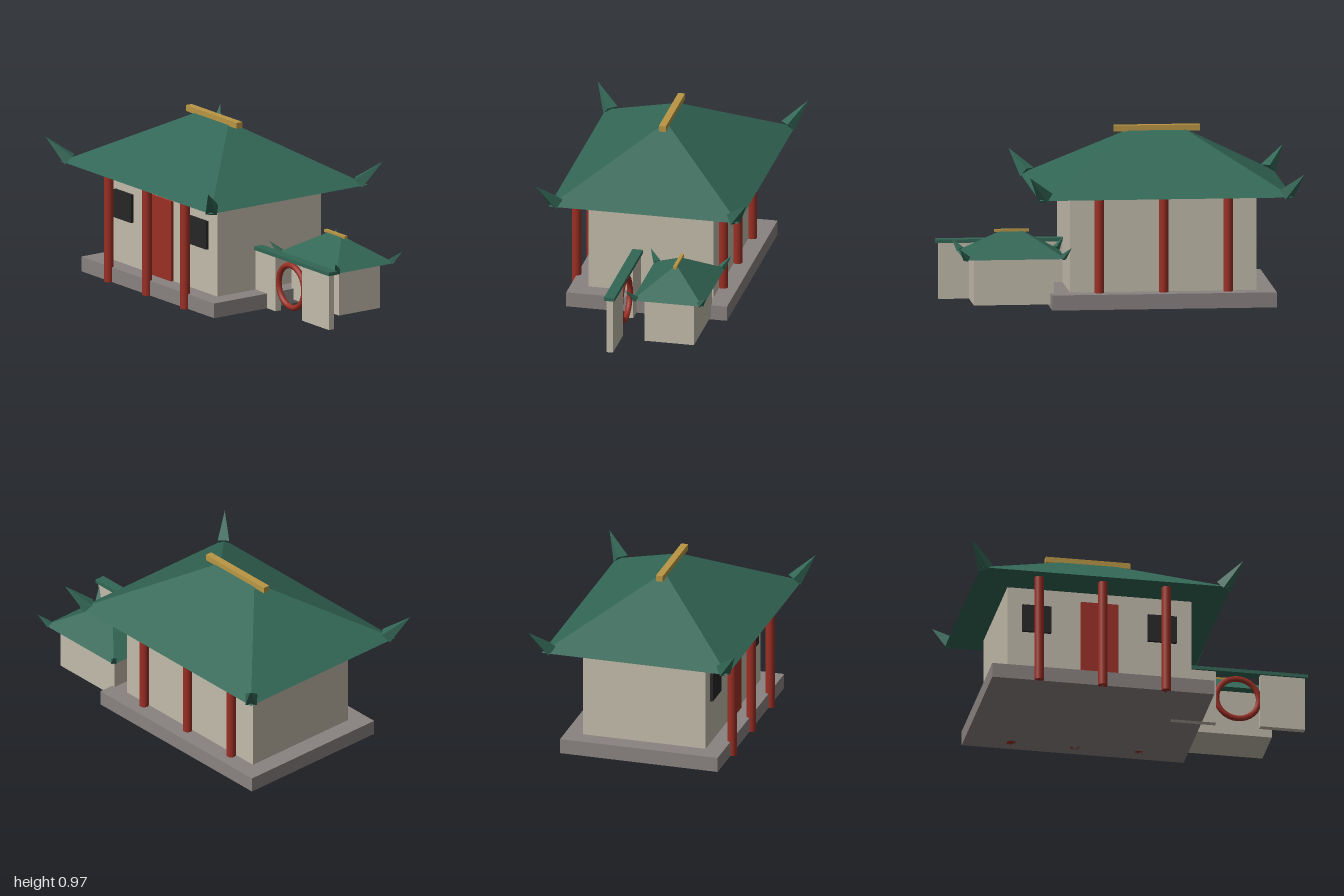
import * as THREE from 'three';

const mat = (name, color) => {
  const m = new THREE.MeshStandardMaterial({ color });
  m.name = name;
  return m;
};

export function createModel() {
  const plaster = mat('plaster', 0xc2bbab);
  const stone = mat('stone', 0x898280);
  const tile = mat('greenTile', 0x326655);
  const red = mat('redLacquer', 0x9b2f24);
  const gold = mat('gold', 0xb99644);
  const dark = mat('darkWindow', 0x262626);

  const model = new THREE.Group();
  model.name = 'courtyardHouse';

  const add = (parent, name, geometry, material) => {
    const mesh = new THREE.Mesh(geometry, material);
    mesh.name = name;
    parent.add(mesh);
    return mesh;
  };

  // Box given by its extents on each axis
  const box = (parent, name, material, [x0, x1], [y0, y1], [z0, z1]) => {
    const mesh = add(parent, name, new THREE.BoxGeometry(x1 - x0, y1 - y0, z1 - z0), material);
    mesh.position.set((x0 + x1) / 2, (y0 + y1) / 2, (z0 + z1) / 2);
    return mesh;
  };

  const faceted = (geometry) => {
    const g = geometry.toNonIndexed();
    g.computeVertexNormals();
    return g;
  };

  // Hipped roof: a box tapered to a narrow ridge, with four upturned corner horns
  const hipRoof = (name, { x, y, z, halfX, halfZ, height, topX, topZ, hornScale, ridge }) => {
    const roof = new THREE.Group();
    roof.name = name;
    roof.position.set(x, y, z);
    model.add(roof);

    const body = new THREE.BoxGeometry(2, height, 2);
    body.translate(0, height / 2, 0);
    const p = body.attributes.position;
    for (let i = 0; i < p.count; i++) {
      const top = p.getY(i) > height / 2;
      p.setX(i, p.getX(i) * (top ? topX : halfX));
      p.setZ(i, p.getZ(i) * (top ? topZ : halfZ));
    }
    add(roof, 'roofSlopes', faceted(body), tile);

    const [rx, ry0, ry1, rz] = ridge;
    box(roof, 'ridgeBeam', gold, [-rx, rx], [ry0, ry1], [-rz, rz]);

    // Horns lean outward along each diagonal
    const horn = new THREE.ConeGeometry(0.046, 0.184, 4);
    horn.rotateY(Math.PI / 4);
    horn.rotateX(0.82);
    const hornGeometry = faceted(horn);
    for (const sx of [-1, 1]) {
      for (const sz of [-1, 1]) {
        const h = add(roof, 'cornerHorn', hornGeometry, tile);
        h.scale.setScalar(hornScale);
        h.rotation.y = Math.atan2(sx, sz);
        h.position.set(
          sx * (halfX + 0.013 * hornScale),
          0.076 * hornScale,
          sz * (halfZ + 0.013 * hornScale)
        );
      }
    }
  };

  // Main hall
  box(model, 'platform', stone, [-0.86, 0.4], [0, 0.085], [-0.46, 0.46]);
  box(model, 'hallWalls', plaster, [-0.755, 0.29], [0.085, 0.607], [-0.357, 0.357]);
  box(model, 'door', red, [-0.34, -0.128], [0.085, 0.545], [0.35, 0.374]);
  for (const x of [-0.59, 0.122]) {
    box(model, 'window', dark, [x - 0.082, x + 0.082], [0.34, 0.502], [0.35, 0.374]);
  }
  const columnGeometry = new THREE.CylinderGeometry(0.027, 0.027, 0.63, 12);
  for (const x of [-0.595, -0.233, 0.128]) {
    for (const z of [0.463, -0.377]) {
      add(model, 'column', columnGeometry, red).position.set(x, 0.315, z);
    }
  }
  hipRoof('hallRoof', {
    x: -0.232, y: 0.63, z: 0, halfX: 0.71, halfZ: 0.542, height: 0.315,
    topX: 0.162, topZ: 0.02, hornScale: 1, ridge: [0.241, 0.31, 0.344, 0.02],
  });

  // Side pavilion
  box(model, 'pavilionWalls', plaster, [0.38, 0.83], [0.022, 0.29], [-0.37, -0.087]);
  hipRoof('pavilionRoof', {
    x: 0.605, y: 0.285, z: -0.23, halfX: 0.285, halfZ: 0.202, height: 0.134,
    topX: 0.065, topZ: 0.009, hornScale: 0.48, ridge: [0.096, 0.13, 0.146, 0.01],
  });

  // Garden wall with a round moon gate
  box(model, 'gardenWall', plaster, [0.225, 0.48], [0, 0.317], [0.058, 0.094]);
  box(model, 'gardenWall', plaster, [0.73, 0.985], [0, 0.317], [0.058, 0.094]);
  box(model, 'wallCap', tile, [0.21, 1], [0.316, 0.336], [0.046, 0.106]);
  add(model, 'moonGate', new THREE.TorusGeometry(0.121, 0.017, 8, 32), red)
    .position.set(0.605, 0.167, 0.076);

  return model;
}
